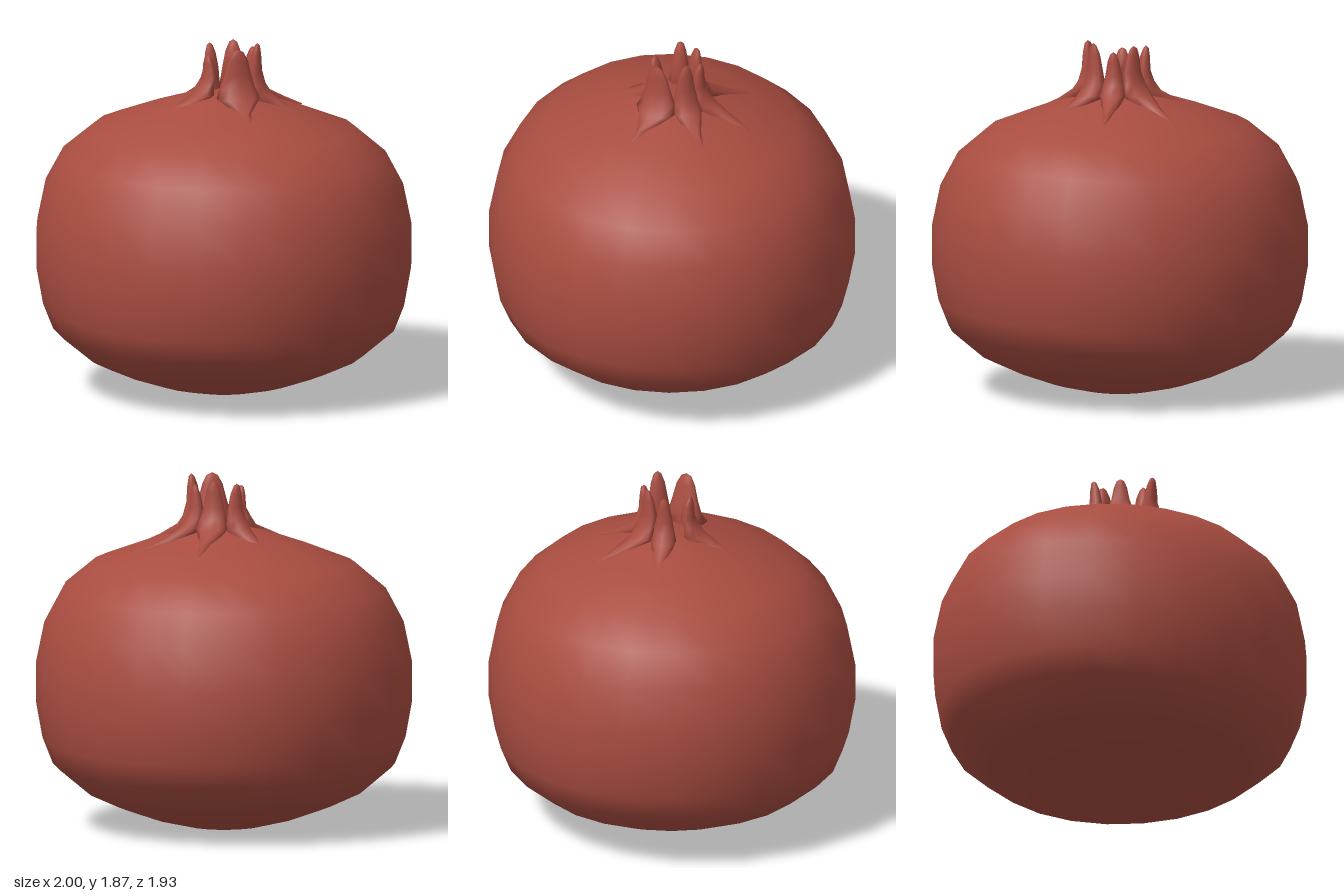
import * as THREE from 'three';
import { mergeVertices } from 'three/addons/utils/BufferGeometryUtils.js';

const rind = new THREE.MeshStandardMaterial({ color: 0xa84c40 });
rind.name = 'red rind';

// Round fruit: 24-sided lathe, slightly flattened front to back
function makeBody() {
  const profile = [
    [0, 0], [0.21, 0.01], [0.39, 0.055], [0.58, 0.125], [0.74, 0.2], [0.91, 0.345],
    [0.965, 0.485], [1, 0.68], [1, 0.885], [0.955, 1.1], [0.86, 1.275], [0.695, 1.41],
    [0.45, 1.5], [0.31, 1.545], [0.21, 1.575], [0.13, 1.595], [0, 1.595],
  ].map(([r, y]) => new THREE.Vector2(r, y));
  let geo = new THREE.LatheGeometry(profile, 24);
  const p = geo.attributes.position;
  for (let i = 0; i < p.count; i++) {
    const x = p.getX(i), y = p.getY(i), z = p.getZ(i);
    const share = (z * z) / (x * x + z * z + 1e-9);
    const sag = 0.05 * share * Math.sin(Math.PI * Math.min(y / 1.595, 1));
    p.setXYZ(i, x, Math.max(0, y - sag), z * 0.963);
  }
  geo.deleteAttribute('normal');
  geo.deleteAttribute('uv');
  geo = mergeVertices(geo, 1e-4);
  geo.computeVertexNormals();
  return geo;
}

// Crown tooth: oval loops flowing from a shoulder ridge up to a blunt tip
function makeSepal(tipR, tipY, width) {
  const sides = 10;
  const k = (tipY - 1.6) / 0.26;
  const rows = [ // y, outer radius, inner radius, half width
    [1.49, 0.44, 0.1, 0.02],
    [1.54, 0.335, 0.09, 0.045],
    [1.6, tipR + 0.075, 0.1, 0.085 * width],
    [1.65, tipR + 0.04, 0.1, 0.07 * width],
    [1.6 + 0.115 * k, tipR + 0.02, tipR - 0.05, 0.056 * width],
    [1.6 + 0.2 * k, tipR + 0.016, tipR - 0.035, 0.04 * width],
    [1.6 + 0.245 * k, tipR + 0.01, tipR - 0.018, 0.022 * width],
  ];
  const pos = [], index = [];
  for (const [y, outer, inner, w] of rows) {
    for (let i = 0; i < sides; i++) {
      const a = (i / sides) * Math.PI * 2;
      pos.push(w * Math.sin(a), y, (outer + inner) / 2 + ((outer - inner) / 2) * Math.cos(a));
    }
  }
  for (let j = 0; j < rows.length - 1; j++) {
    for (let i = 0; i < sides; i++) {
      const n = (i + 1) % sides;
      const a = j * sides + i, b = j * sides + n;
      index.push(a, b, b + sides, a, b + sides, a + sides);
    }
  }
  const tip = pos.length / 3, last = (rows.length - 1) * sides;
  pos.push(0, tipY, tipR - 0.004);
  for (let i = 0; i < sides; i++) index.push(last + i, last + ((i + 1) % sides), tip);
  const geo = new THREE.BufferGeometry();
  geo.setAttribute('position', new THREE.Float32BufferAttribute(pos, 3));
  geo.setIndex(index);
  geo.computeVertexNormals();
  return geo;
}

export function createModel() {
  const model = new THREE.Group();
  model.name = 'pomegranate';

  const body = new THREE.Mesh(makeBody(), rind);
  body.name = 'fruitBody';
  model.add(body);

  // Ring of six uneven teeth, set slightly off centre
  const crown = new THREE.Group();
  crown.name = 'crown';
  crown.position.set(0.02, 0, -0.015);
  const teeth = [ // tip x, tip z, tip height, width factor
    [0.115, 0.13, 1.86, 1.4],
    [0.16, -0.02, 1.87, 0.95],
    [0.09, -0.115, 1.83, 0.8],
    [-0.03, -0.125, 1.855, 1],
    [-0.14, -0.06, 1.84, 0.8],
    [-0.08, 0.1, 1.81, 0.9],
  ];
  teeth.forEach(([x, z, y, width], i) => {
    const sepal = new THREE.Mesh(makeSepal(Math.hypot(x, z), y, width), rind);
    sepal.name = `crownTooth${i + 1}`;
    sepal.rotation.y = Math.atan2(x, z);
    crown.add(sepal);
  });
  model.add(crown);
  return model;
}
